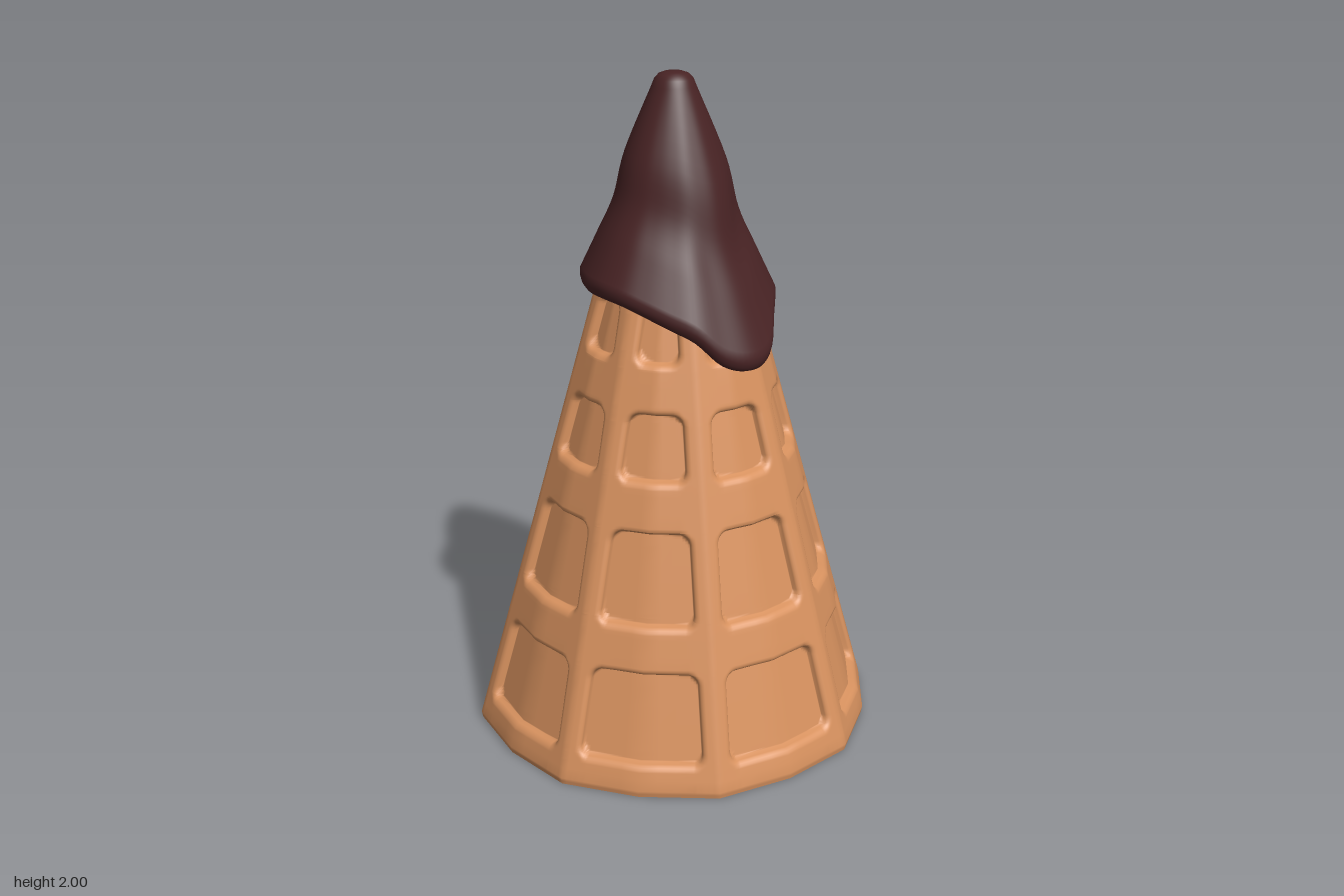
import * as THREE from 'three';

const waffleMat = new THREE.MeshStandardMaterial({ color: 0xd8925f });
waffleMat.name = 'waffle';
const chocolateMat = new THREE.MeshStandardMaterial({ color: 0x482324 });
chocolateMat.name = 'chocolate';

// Surface through closed rings of points, listed from the bottom up
function loft(rings) {
  const n = rings[0].length;
  const index = [];
  for (let i = 0; i < rings.length - 1; i++) {
    for (let j = 0; j < n; j++) {
      const k = (j + 1) % n;
      const a = i * n + j, b = i * n + k, c = a + n, d = b + n;
      index.push(a, b, d, a, d, c);
    }
  }
  const geo = new THREE.BufferGeometry();
  geo.setAttribute('position', new THREE.Float32BufferAttribute(rings.flat(2), 3));
  geo.setIndex(index);
  geo.computeVertexNormals();
  return geo;
}

function addPart(group, name, geo, mat) {
  const mesh = new THREE.Mesh(geo, mat);
  mesh.name = name;
  group.add(mesh);
}

// Waffle cone: eight ribs, with four rows of sunken windows between them
const WINDOWS = [[0.095, 0.345], [0.485, 0.74], [0.89, 1.07], [1.215, 1.37]];
const RIB = 0.05, SHOULDER = 0.022, DEPTH = 0.026, CORNER = 0.03;
const coneRadius = (y) => (y < 0.02 ? 0.612 + 0.2 * y : 0.6216 - 0.279 * y);

// Sink depth at a distance q from the panel's middle line
function sink(q, y, halfWidth) {
  let depth = 0;
  for (const [y0, y1] of WINDOWS) {
    const dx = q - halfWidth + CORNER;
    const dy = Math.abs(y - (y0 + y1) / 2) - (y1 - y0) / 2 + CORNER;
    const dist = Math.hypot(Math.max(dx, 0), Math.max(dy, 0)) + Math.min(Math.max(dx, dy), 0) - CORNER;
    const s = THREE.MathUtils.clamp(dist / SHOULDER, 0, 1);
    depth = Math.max(depth, DEPTH * (1 - Math.sqrt(1 - (1 - s) ** 2)));
  }
  return depth;
}

// Column offsets from a rib, closely spaced at the window edge
const OFFSETS = [0, 0.015, 0.028, 0.034, 0.04, 0.044, 0.047, 0.05, 0.053, 0.058, 0.065, 0.073];

function coneRing(y) {
  const r = coneRadius(y), ring = [];
  for (let p = 0; p < 8; p++) {
    const mid = ((p + 0.5) * Math.PI) / 4;
    const nx = Math.sin(mid), nz = Math.cos(mid);
    const half = [];
    const side = r * Math.sin(Math.PI / 8);
    const ribOut = r * Math.cos(Math.PI / 8), midOut = r * 0.976;
    const L = Math.hypot(side, midOut - ribOut);
    const last = OFFSETS[OFFSETS.length - 1];
    const offsets = [...OFFSETS, ...[0.33, 0.66, 1].map((f) => last + (L - last) * f)];
    for (const o of offsets) {
      const t = o / L;
      half.push([side * (1 - t), ribOut + (midOut - ribOut) * t - sink(L - o, y, L - RIB)]);
    }
    // left half of the panel, then its mirror without the shared columns
    const across = half.map(([s, out]) => [-s, out]);
    across.push(...half.slice(1, -1).reverse());
    for (const [s, out] of across) ring.push([nx * out + nz * s, y, nz * out - nx * s]);
  }
  return ring;
}

function coneRows() {
  const ys = [0, 0.01, 0.02];
  for (let y = 0.05; y < 1.51; y += 0.05) ys.push(y);
  for (const [y0, y1] of WINDOWS) {
    for (const o of [-0.022, -0.016, -0.01, -0.006, -0.003, 0, 0.003, 0.008, 0.015, 0.022, 0.03]) {
      ys.push(y0 + o, y1 - o);
    }
  }
  return ys.sort((a, b) => a - b);
}

// Chocolate hem: height and radius every 15 degrees, from the front towards +x
const HEM_Y = [1.28, 1.21, 1.185, 1.2, 1.28, 1.32, 1.31, 1.265, 1.25, 1.28, 1.31, 1.33,
  1.33, 1.31, 1.32, 1.34, 1.37, 1.38, 1.38, 1.38, 1.38, 1.37, 1.345, 1.315];
const HEM_R = [0.3, 0.32, 0.335, 0.33, 0.305, 0.298, 0.3, 0.302, 0.3, 0.298, 0.288, 0.282,
  0.28, 0.278, 0.278, 0.275, 0.275, 0.275, 0.275, 0.278, 0.28, 0.278, 0.275, 0.282];

// Smooth closed interpolation through the hem values
function around(values, u) {
  const n = values.length, i = Math.floor(u), t = u - i;
  const [a, b, c, d] = [-1, 0, 1, 2].map((k) => values[(i + k + n) % n]);
  return b + 0.5 * t * (c - a + t * (2 * a - 5 * b + 4 * c - d + t * (3 * (b - c) + d - a)));
}

function chocolateRings() {
  const COLS = 120, TOP = 1.96, TIP = 0.064;
  const flare = new THREE.SplineCurve([[0, 0], [0.35, 0.37], [0.6, 0.53], [0.8, 0.76], [1, 1]]
    .map(([x, y]) => new THREE.Vector2(x, y)));
  const rows = [];
  // underside and rounded lip
  const lip = [[0.02, -1], [0.004, -0.032], [0, -0.022], [0.004, -0.011], [0.014, -0.004], [0.028, 0]];
  for (const [dy, dr] of lip) {
    rows.push((y, r) => [y + dy, dr === -1 ? coneRadius(y) - 0.03 : r + dr]);
  }
  // flared body
  for (let i = 24; i >= 0; i--) {
    const f = flare.getPoint(i / 24);
    rows.push((y, r) => [TOP + (y + 0.045 - TOP) * f.x, TIP + (r - TIP) * f.y]);
  }
  // blunt tip
  for (const [y, r] of [[1.98, 0.056], [1.993, 0.044], [1.999, 0.028], [2, 0]]) rows.push(() => [y, r]);

  return rows.map((row) => Array.from({ length: COLS }, (_, j) => {
    const u = (j / COLS) * HEM_Y.length, a = (j / COLS) * Math.PI * 2;
    const [y, r] = row(around(HEM_Y, u), around(HEM_R, u));
    return [Math.sin(a) * r, y, Math.cos(a) * r];
  }));
}

export function createModel() {
  const group = new THREE.Group();
  group.name = 'dippedWaffleCone';
  addPart(group, 'waffleCone', loft(coneRows().map(coneRing)), waffleMat);

  // Flat base closing the cone
  const rim = coneRing(0);
  addPart(group, 'coneBase', loft([rim.map(() => [0, 0, 0]), rim]), waffleMat);

  addPart(group, 'chocolateTip', loft(chocolateRings()), chocolateMat);
  return group;
}
